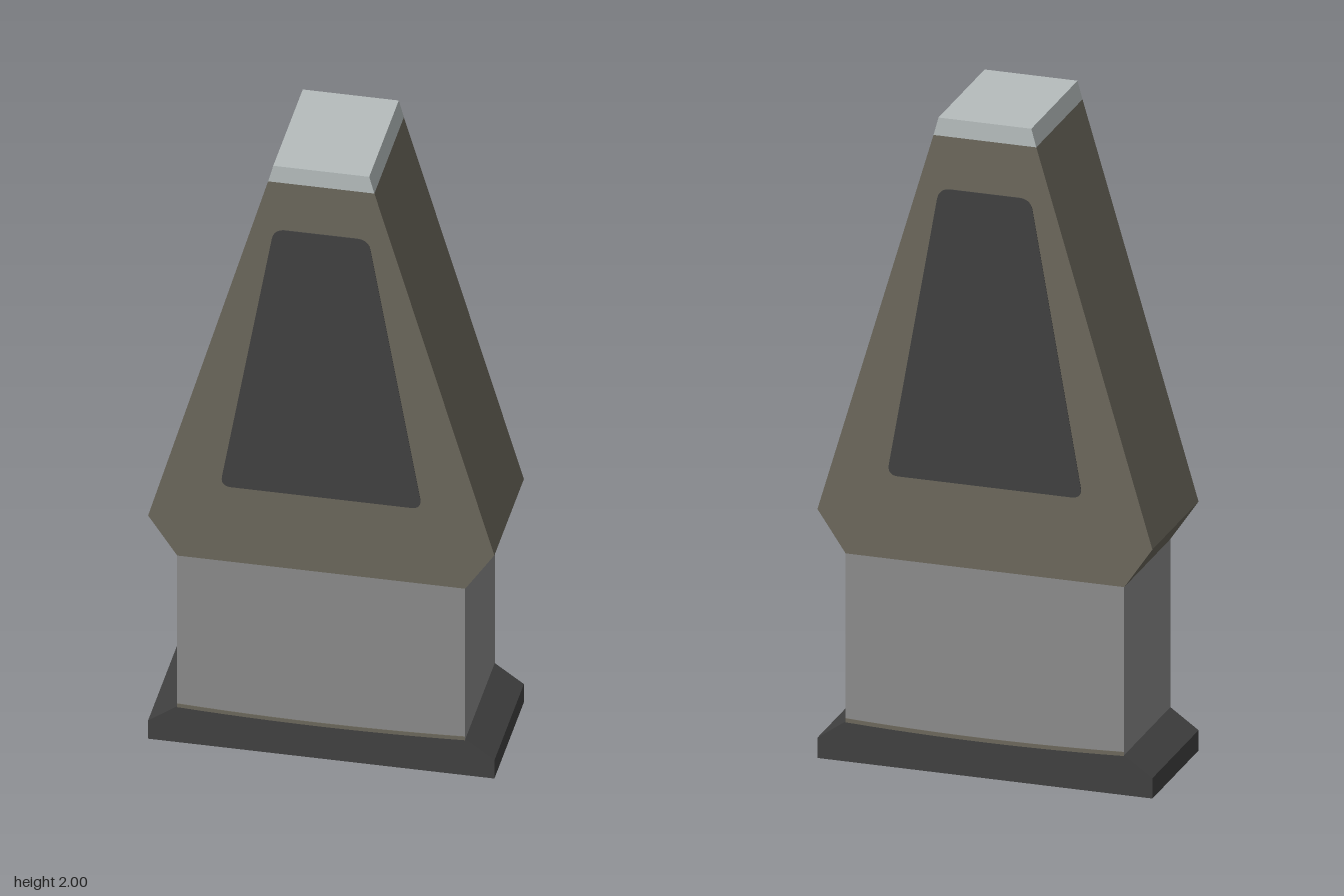
import * as THREE from 'three';

const HALF_DEPTH = 0.204;

function material(name, color, extra = {}) {
  const m = new THREE.MeshStandardMaterial({ color, ...extra });
  m.name = name;
  return m;
}

// Stack of rectangular levels [halfWidth, y]; open where it meets a neighbour.
function band(levels, { capBottom = false, capTop = false } = {}) {
  const positions = [];
  const ring = ([w, y]) => [
    [-w, y, HALF_DEPTH], [w, y, HALF_DEPTH], [w, y, -HALF_DEPTH], [-w, y, -HALF_DEPTH],
  ];
  const quad = (a, b, c, d) => positions.push(...a, ...b, ...c, ...a, ...c, ...d);
  for (let i = 0; i < levels.length - 1; i++) {
    const lower = ring(levels[i]);
    const upper = ring(levels[i + 1]);
    for (let k = 0; k < 4; k++) {
      const n = (k + 1) % 4;
      quad(lower[k], lower[n], upper[n], upper[k]);
    }
  }
  if (capBottom) quad(...ring(levels[0]).reverse());
  if (capTop) quad(...ring(levels[levels.length - 1]));
  const geometry = new THREE.BufferGeometry();
  geometry.setAttribute('position', new THREE.Float32BufferAttribute(positions, 3));
  geometry.computeVertexNormals();
  return geometry;
}

// Trapezoid with softly rounded corners.
function panelShape(radius) {
  const corners = [[-0.295, 0.89], [0.295, 0.89], [0.138, 1.785], [-0.138, 1.785]]
    .map(([x, y]) => new THREE.Vector2(x, y));
  const shape = new THREE.Shape();
  corners.forEach((corner, i) => {
    const toward = (other) =>
      corner.clone().add(other.clone().sub(corner).setLength(radius));
    const start = toward(corners[(i + 3) % 4]);
    const end = toward(corners[(i + 1) % 4]);
    if (i === 0) shape.moveTo(start.x, start.y);
    else shape.lineTo(start.x, start.y);
    shape.quadraticCurveTo(corner.x, corner.y, end.x, end.y);
  });
  shape.closePath();
  return shape;
}

// Thin line between neck and foot, sagging slightly in the middle.
function seamShape() {
  const shape = new THREE.Shape();
  shape.moveTo(-0.42, 0.12);
  shape.quadraticCurveTo(0, 0.1, 0.42, 0.12);
  shape.lineTo(0.42, 0.132);
  shape.quadraticCurveTo(0, 0.112, -0.42, 0.132);
  shape.closePath();
  return shape;
}

export function createModel() {
  const group = new THREE.Group();
  const olive = material('olive', 0x6c685c);
  const grey = material('grey', 0x8b8b8b);
  const charcoal = material('charcoal', 0x414141);
  const silver = material('silver', 0xb6bdbd);

  const add = (name, geometry, mat) => {
    const mesh = new THREE.Mesh(geometry, mat);
    mesh.name = name;
    group.add(mesh);
    return mesh;
  };

  // Main body, bottom to top
  add('foot', band([[0.505, 0], [0.505, 0.062], [0.42, 0.122]], { capBottom: true }), charcoal);
  add('neck', band([[0.42, 0.122], [0.42, 0.635]]), grey);
  add('head', band([[0.42, 0.635], [0.505, 0.76], [0.155, 1.945]]), olive);
  add('tip', band([[0.155, 1.945], [0.14, 2]], { capTop: true }), silver);

  // Inset panels and seam lines, front and back
  const plate = { depth: 0.002, bevelEnabled: false, curveSegments: 12 };
  const panel = new THREE.ExtrudeGeometry(panelShape(0.035), plate);
  const seam = new THREE.ExtrudeGeometry(seamShape(), plate);
  for (const [side, turn, z] of [['front', 0, HALF_DEPTH], ['back', Math.PI, -HALF_DEPTH]]) {
    for (const [name, geometry, mat] of [['Panel', panel, charcoal], ['Seam', seam, olive]]) {
      const mesh = add(side + name, geometry, mat);
      mesh.rotation.y = turn;
      mesh.position.z = z;
    }
  }
  return group;
}
